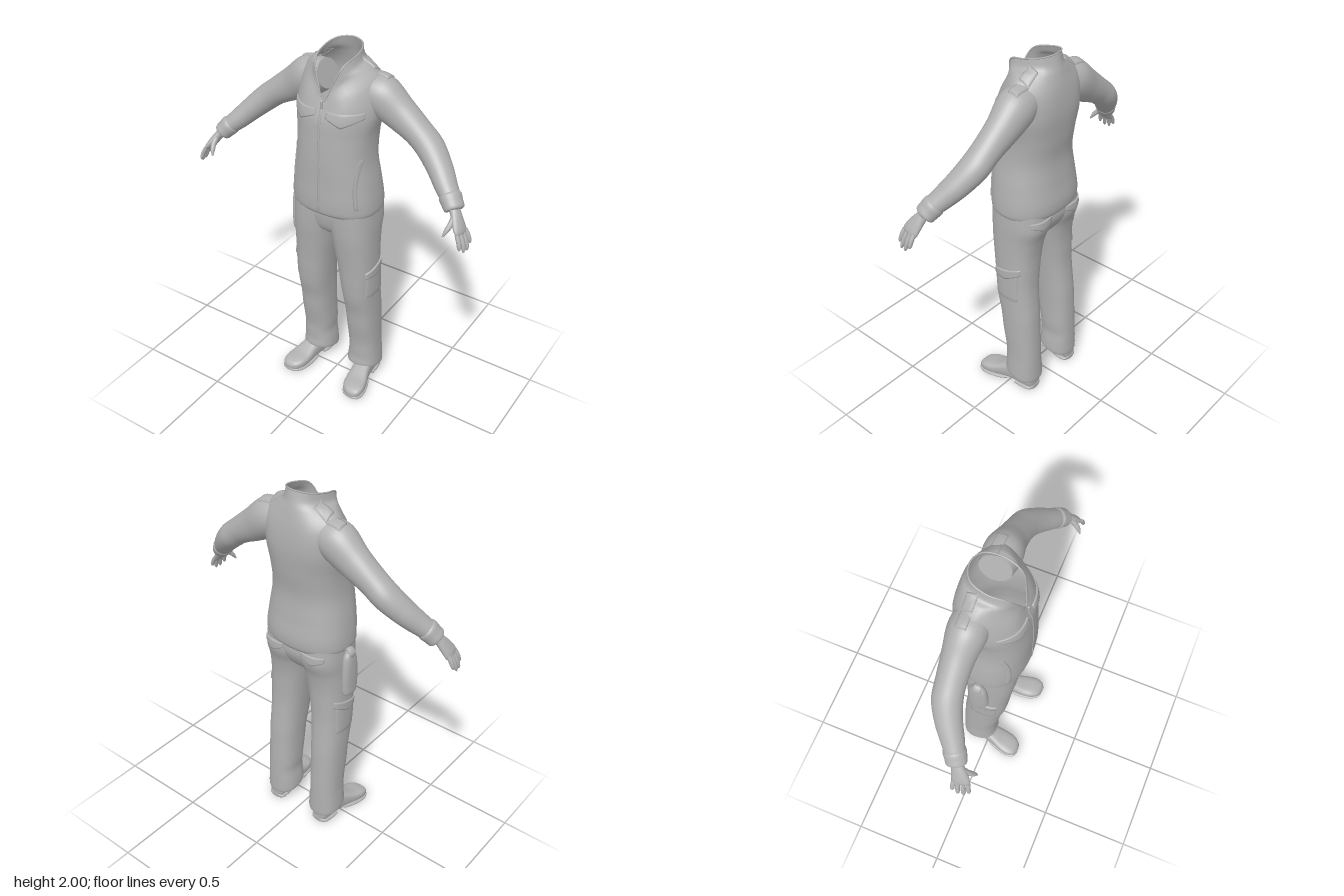
import * as THREE from 'three';

const V = (x, y, z) => new THREE.Vector3(x, y, z);
const N = 40; // points round each cross-section
const spow = (a, p) => Math.sign(a) * Math.abs(a) ** p;
const steps = (fn, n = N) => Array.from({ length: n }, (_, j) => fn((j / n) * Math.PI * 2, j / n));

// Horizontal rounded-square ring, starting at the front and going towards +x
function oval(y, x0, x1, zf, zb, tilt = 0, p = 0.85) {
  return steps((a) => {
    const dz = ((zf - zb) / 2) * spow(Math.cos(a), p);
    return V((x0 + x1) / 2 + ((x1 - x0) / 2) * spow(Math.sin(a), p), y + tilt * dz, (zf + zb) / 2 + dz);
  });
}

// Symmetric ring from six points, front centre round to back centre
function mirroredRing(half) {
  const pts = half.map((p) => V(...p));
  for (let i = 4; i > 0; i--) pts.push(V(-half[i][0], half[i][1], half[i][2]));
  const curve = new THREE.CatmullRomCurve3(pts, true);
  return steps((a, t) => curve.getPoint(t));
}

// Smooth skin through a list of rings, with optional flat ends
function loft(rings, seg, capStart = true, capEnd = true) {
  const n = rings[0].length, pos = [], idx = [];
  const columns = rings[0].map((_, j) => new THREE.CatmullRomCurve3(rings.map((r) => r[j])));
  for (let i = 0; i <= seg; i++) columns.forEach((c) => pos.push(...c.getPoint(i / seg).toArray()));
  for (let i = 0; i < seg; i++) {
    for (let j = 0; j < n; j++) {
      const a = i * n + j, b = i * n + ((j + 1) % n);
      idx.push(a, b, a + n, b, b + n, a + n);
    }
  }
  const cap = (ring, flip) => {
    const start = pos.length / 3, mid = V(0, 0, 0);
    ring.forEach((p) => { pos.push(...p.toArray()); mid.addScaledVector(p, 1 / n); });
    pos.push(...mid.toArray());
    for (let j = 0; j < n; j++) {
      const a = start + j, b = start + ((j + 1) % n);
      idx.push(start + n, flip ? b : a, flip ? a : b);
    }
  };
  if (capStart) cap(rings[0], true);
  if (capEnd) cap(rings[rings.length - 1], false);
  return build(pos, idx);
}

function build(pos, idx) {
  const g = new THREE.BufferGeometry();
  g.setAttribute('position', new THREE.Float32BufferAttribute(pos, 3));
  g.setIndex(idx);
  g.computeVertexNormals();
  return g;
}

// Tapered limb through rows of [x, y, z, radius, depth radius]
function limb(rows, seg, sides = 24) {
  const rings = rows.map((r, i) => {
    const a = rows[Math.max(i - 1, 0)], b = rows[Math.min(i + 1, rows.length - 1)];
    const d = V(b[0] - a[0], b[1] - a[1], b[2] - a[2]).normalize();
    const v = V(0, 0, 1).addScaledVector(d, -d.z).normalize();
    const u = v.clone().cross(d);
    return steps((t) => V(r[0], r[1], r[2])
      .addScaledVector(u, r[3] * Math.cos(t)).addScaledVector(v, r[4] * Math.sin(t)), sides);
  });
  return loft(rings, seg);
}

// Shoe piece along z, rows of [z, centre x, half width, bottom, top]
function shoePart(rows, grow = 0) {
  return loft(rows.map(([z, cx, w, y0, y1]) => steps((a) => V(
    cx + (w + grow) * spow(Math.cos(a), 0.7),
    (y0 + y1) / 2 + ((y1 - y0) / 2) * spow(Math.sin(a), 0.7), z), 28)), 30);
}

// Thin cloth plate laid on a body: at(u, v) is a start point, cast along dir
function patch(body, at, dir, lift = 0.008, nu = 14, nv = 9) {
  const pos = [], idx = [], ray = new THREE.Raycaster();
  const inner = (i, n) => Math.min(Math.max((i - 1) / (n - 2), 0), 1);
  for (let i = 0; i <= nv; i++) {
    for (let j = 0; j <= nu; j++) {
      const edge = i === 0 || j === 0 || i === nv || j === nu;
      const start = at(inner(j, nu), inner(i, nv));
      ray.set(start, dir);
      const hit = ray.intersectObject(body)[0];
      const p = hit ? hit.point : start;
      pos.push(...p.addScaledVector(dir, edge ? 0.003 : -lift).toArray());
      if (i < nv && j < nu) {
        const a = i * (nu + 1) + j, c = a + nu + 1;
        idx.push(a, c, a + 1, a + 1, c, c + 1);
      }
    }
  }
  return build(pos, idx);
}

export function createModel() {
  const model = new THREE.Group();
  model.name = 'uniform';
  const cloth = new THREE.MeshStandardMaterial({ color: 0xb0b0b0, side: THREE.DoubleSide });
  cloth.name = 'plain grey';
  const add = (name, geometry, parent = model) => {
    const m = new THREE.Mesh(geometry, cloth);
    m.name = name;
    parent.add(m);
    return m;
  };
  const left = new THREE.Group();
  left.name = 'leftSide';

  // Jacket body, rising into the open stand-up collar
  const collarTop = mirroredRing([[0, 1.76, 0.122], [0.038, 1.84, 0.108], [0.078, 1.935, 0.07],
    [0.096, 1.968, -0.03], [0.068, 1.988, -0.115], [0, 1.995, -0.142]]);
  const jacket = add('jacket', loft([
    oval(1.145, -0.228, 0.228, 0.155, -0.18),
    oval(1.16, -0.238, 0.238, 0.167, -0.19),
    oval(1.21, -0.239, 0.239, 0.173, -0.195),
    oval(1.32, -0.226, 0.226, 0.172, -0.182),
    oval(1.45, -0.205, 0.205, 0.172, -0.172),
    oval(1.58, -0.204, 0.204, 0.165, -0.188),
    mirroredRing([[0, 1.67, 0.157], [0.13, 1.69, 0.13], [0.212, 1.7, 0.03],
      [0.222, 1.71, -0.07], [0.14, 1.71, -0.175], [0, 1.71, -0.197]]),
    mirroredRing([[0, 1.72, 0.14], [0.1, 1.79, 0.112], [0.19, 1.83, 0.01],
      [0.215, 1.85, -0.075], [0.13, 1.82, -0.168], [0, 1.82, -0.188]]),
    mirroredRing([[0, 1.742, 0.132], [0.06, 1.825, 0.105], [0.125, 1.895, 0.035],
      [0.15, 1.913, -0.05], [0.095, 1.905, -0.14], [0, 1.905, -0.17]]),
    mirroredRing([[0, 1.75, 0.128], [0.046, 1.832, 0.107], [0.098, 1.905, 0.058],
      [0.112, 1.925, -0.035], [0.077, 1.94, -0.122], [0, 1.945, -0.158]]),
    collarTop,
  ], 72, true, false));
  add('collarRim', new THREE.TubeGeometry(new THREE.CatmullRomCurve3(collarTop, true), 80, 0.004, 6, true));

  // Front zip and its pull
  const back = V(0, 0, -1);
  add('zip', patch(jacket, (u, v) => V(-0.006 + u * 0.012, 1.735 - v * 0.575, 1), back, 0.003, 5, 24));
  const pull = add('zipPull', new THREE.CapsuleGeometry(0.007, 0.03, 4, 10));
  pull.position.set(0, 1.75, 0.137);

  // Chest flaps with a pointed lower edge, and slanted side pockets
  add('chestFlap', patch(jacket, (u, v) => V(0.03 + u * 0.165,
    1.725 - v * (0.028 + 0.04 * (1 - Math.abs(2 * u - 1))), 1), back), left);
  add('sidePocket', patch(jacket, (u, v) => V(0.182 + u * 0.014 - 0.01 * Math.sin(v * Math.PI), 1.48 - v * 0.27, 1),
    back, 0.006, 5, 14), left);

  // Sleeve and cuff
  const sleeve = add('sleeve', limb([
    [0.1, 1.81, -0.065, 0.075, 0.08], [0.2, 1.775, -0.07, 0.103, 0.096],
    [0.31, 1.7, -0.074, 0.087, 0.08], [0.41, 1.635, -0.07, 0.071, 0.073],
    [0.48, 1.58, -0.062, 0.068, 0.074], [0.56, 1.505, -0.024, 0.06, 0.066],
    [0.62, 1.445, 0.018, 0.053, 0.057], [0.66, 1.41, 0.044, 0.046, 0.05],
  ], 48, 32), left);
  add('cuff', limb([
    [0.645, 1.424, 0.034, 0.046, 0.05], [0.651, 1.418, 0.038, 0.053, 0.057],
    [0.672, 1.394, 0.052, 0.05, 0.055], [0.692, 1.372, 0.064, 0.045, 0.051], [0.693, 1.37, 0.065, 0.03, 0.036],
  ], 16), left);

  // Shoulder strap
  add('shoulderStrap', patch(jacket, (u, v) => V(0.1 + u * 0.07, 3, -0.115 + v * 0.055), V(0, -1, 0)), left);
  add('shoulderStrapEnd', patch(sleeve, (u, v) => V(0.165 + u * 0.08, 3, -0.115 + v * 0.055), V(0, -1, 0)), left);

  // Hand
  add('palm', limb([
    [0.675, 1.395, 0.055, 0.024, 0.03], [0.7, 1.365, 0.072, 0.023, 0.031],
    [0.728, 1.325, 0.092, 0.022, 0.042], [0.752, 1.288, 0.107, 0.017, 0.046], [0.758, 1.277, 0.11, 0.008, 0.038],
  ], 18), left);
  const fingers = [
    [0.75, 1.292, 0.143, 0.775, 1.222, 0.158], [0.757, 1.287, 0.119, 0.788, 1.203, 0.135],
    [0.76, 1.287, 0.095, 0.792, 1.202, 0.106], [0.758, 1.292, 0.073, 0.79, 1.226, 0.076],
  ];
  for (const [x, y, z, tx, ty, tz] of fingers) {
    const row = (t, r, bend = 0) => [x + (tx - x) * t + bend, y + (ty - y) * t, z + (tz - z) * t, r, r];
    add('finger', limb([row(0, 0.011), row(0.45, 0.0115, 0.004), row(0.85, 0.009, 0.002), row(1, 0.003)], 12, 12), left);
  }
  add('thumb', limb([
    [0.705, 1.355, 0.09, 0.014, 0.016], [0.706, 1.325, 0.125, 0.014, 0.015],
    [0.697, 1.297, 0.15, 0.0115, 0.0115], [0.688, 1.272, 0.165, 0.004, 0.004],
  ], 14, 12), left);

  // Trousers
  add('trouserSeat', loft([
    oval(0.985, -0.11, 0.11, 0.07, -0.1), oval(1.03, -0.18, 0.18, 0.115, -0.14),
    oval(1.1, -0.222, 0.222, 0.135, -0.17), oval(1.17, -0.222, 0.222, 0.14, -0.165)], 16));
  const leg = add('trouserLeg', loft([
    oval(0.078, 0.072, 0.233, 0.02, -0.15, 0.26), oval(0.08, 0.06, 0.24, 0.036, -0.158, 0.26),
    oval(0.14, 0.06, 0.24, 0.033, -0.16, 0.15), oval(0.21, 0.068, 0.236, 0.034, -0.158),
    oval(0.27, 0.064, 0.235, 0.036, -0.156), oval(0.4, 0.062, 0.236, 0.058, -0.15),
    oval(0.5, 0.058, 0.236, 0.07, -0.145), oval(0.6, 0.052, 0.236, 0.092, -0.135),
    oval(0.7, 0.042, 0.236, 0.104, -0.127), oval(0.8, 0.03, 0.236, 0.112, -0.127),
    oval(0.9, 0.014, 0.235, 0.123, -0.13), oval(1.0, -0.002, 0.234, 0.135, -0.146),
    oval(1.08, -0.02, 0.234, 0.14, -0.172), oval(1.17, -0.03, 0.23, 0.142, -0.17),
  ], 64), left);
  add('thighFlap', patch(leg, (u, v) => V(1, 0.8 + u * 0.04 - v * (0.035 + 0.02 * (1 - Math.abs(2 * u - 1))),
    0.07 - u * 0.165), V(-1, 0, 0)), left);
  add('thighPocket', patch(leg, (u, v) => V(1, 0.8 - v * 0.17, 0.062 - u * 0.145), V(-1, 0, 0), 0.004), left);
  add('backFlap', patch(leg, (u, v) => V(0.19 - u * 0.13, 1.14 - v * (0.025 + 0.03 * (1 - Math.abs(2 * u - 1))), -1),
    V(0, 0, 1)), left);

  // Shoe, tread and heel
  add('shoe', shoePart([
    [-0.152, 0.158, 0.02, 0.02, 0.06], [-0.143, 0.158, 0.044, 0.012, 0.1], [-0.09, 0.162, 0.054, 0.012, 0.13],
    [-0.02, 0.17, 0.052, 0.012, 0.13], [0.04, 0.18, 0.055, 0.012, 0.105], [0.1, 0.192, 0.064, 0.012, 0.08],
    [0.15, 0.201, 0.062, 0.012, 0.07], [0.185, 0.207, 0.044, 0.012, 0.057], [0.198, 0.21, 0.018, 0.016, 0.04],
  ]), left);
  add('tread', shoePart([
    [-0.01, 0.172, 0.03, 0.012, 0.022], [0.03, 0.178, 0.052, 0.002, 0.022], [0.1, 0.192, 0.064, 0, 0.022],
    [0.15, 0.201, 0.062, 0, 0.022], [0.187, 0.207, 0.044, 0.003, 0.022], [0.2, 0.21, 0.016, 0.008, 0.02],
  ], 0.003), left);
  add('heel', shoePart([
    [-0.155, 0.158, 0.022, 0, 0.024], [-0.143, 0.158, 0.046, 0, 0.024],
    [-0.09, 0.162, 0.054, 0, 0.024], [-0.045, 0.167, 0.05, 0, 0.024],
  ], 0.002), left);

  const right = left.clone();
  right.name = 'rightSide';
  right.scale.x = -1;
  model.add(left, right);

  // Hip pouch hanging from a strap on the right
  add('hipPouch', loft([
    oval(0.885, -0.265, -0.245, 0.005, -0.045), oval(0.895, -0.277, -0.232, 0.025, -0.065),
    oval(0.95, -0.28, -0.228, 0.035, -0.072), oval(1.05, -0.28, -0.228, 0.033, -0.07),
    oval(1.12, -0.276, -0.228, 0.022, -0.06), oval(1.145, -0.268, -0.235, 0.005, -0.045)], 24));
  add('pouchStrap', limb([
    [-0.266, 1.11, -0.02, 0.007, 0.022], [-0.272, 1.145, -0.02, 0.007, 0.022],
    [-0.255, 1.165, -0.02, 0.007, 0.022], [-0.225, 1.15, -0.02, 0.007, 0.022]], 16, 12));
  return model;
}
